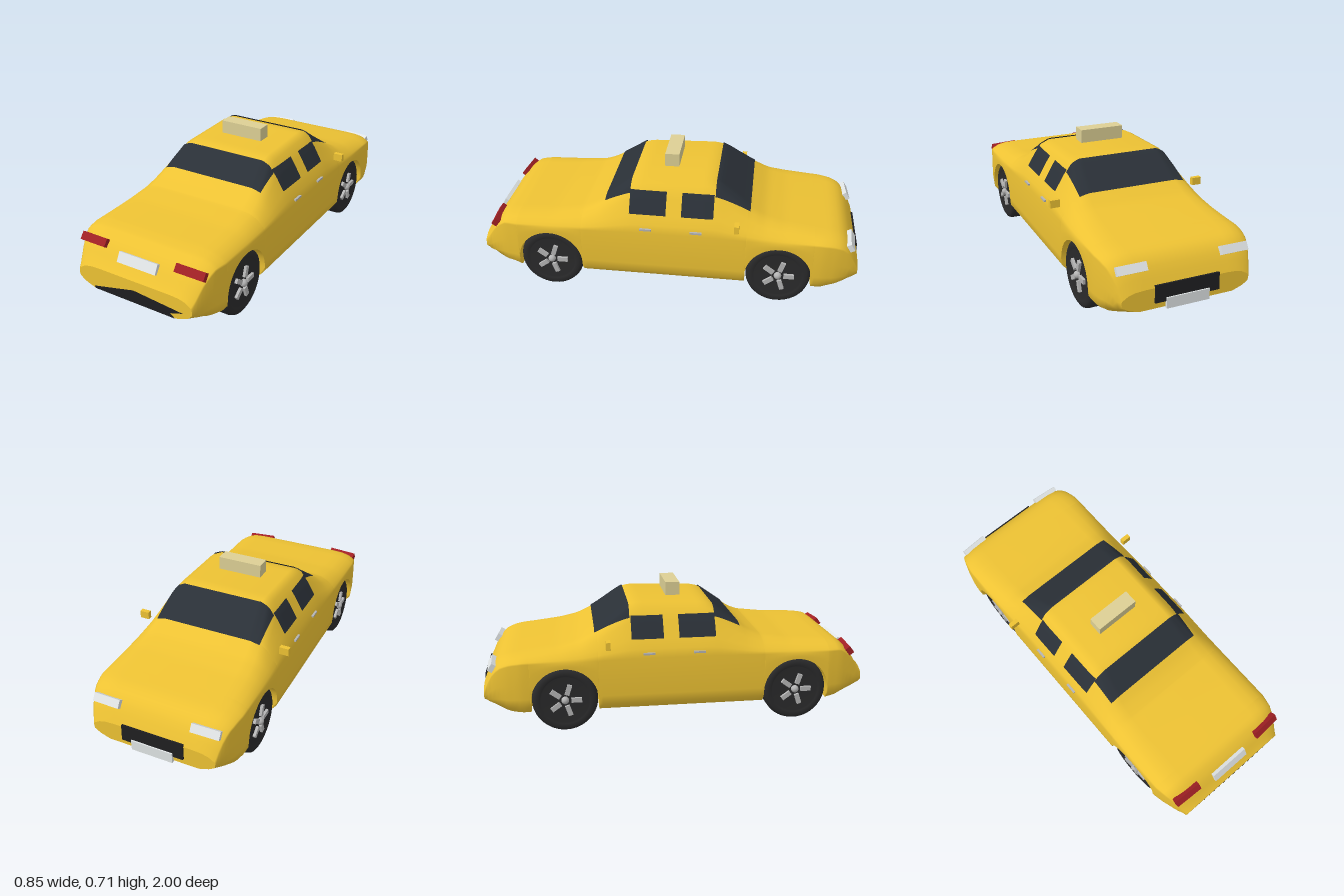
import * as THREE from 'three';

const mat = (color, side = THREE.FrontSide) => new THREE.MeshStandardMaterial({ color, side });
const yellow = mat(0xedc233), yellow2 = mat(0xedc233, THREE.DoubleSide);
const black = mat(0x1e1e20), black2 = mat(0x1e1e20, THREE.DoubleSide);
const glass = mat(0x2a3037, THREE.DoubleSide), tyreMat = mat(0x2a2a2b), metal = mat(0xb4b4b4);
const red = mat(0xa02024), white = mat(0xdfe3e4), cream = mat(0xdccf94);

// piecewise linear lookup in [[key, value], ...] with ascending keys
function lookup(table, k) {
  if (k <= table[0][0]) return table[0][1];
  for (let i = 1; i < table.length; i++) {
    const [k0, v0] = table[i - 1], [k1, v1] = table[i];
    if (k <= k1) return k1 === k0 ? v1 : v0 + (v1 - v0) * (k - k0) / (k1 - k0);
  }
  return table[table.length - 1][1];
}

// side silhouette, plan width and underside height along z
const TOP = [[-0.985, 0.24], [-0.97, 0.29], [-0.94, 0.345], [-0.9, 0.385], [-0.85, 0.402], [-0.6, 0.435],
  [-0.5, 0.46], [-0.42, 0.503], [-0.25, 0.622], [-0.2, 0.633], [0.15, 0.622], [0.2, 0.61], [0.38, 0.482],
  [0.45, 0.45], [0.6, 0.43], [0.8, 0.42], [0.87, 0.41], [0.93, 0.36], [0.98, 0.285], [1, 0.26]];
const WIDTH = [[-0.985, 0.33], [-0.93, 0.355], [-0.87, 0.375], [-0.8, 0.388], [0.8, 0.388], [0.87, 0.375],
  [0.93, 0.355], [1, 0.33]];
const UNDER = [[-0.985, 0.15], [-0.86, 0.11], [0.86, 0.11], [1, 0.147]];
const TUCK = [[-0.985, 0.09], [-0.8, 0.03], [0.8, 0.03], [1, 0.09]];
const ROOF_X = [0, 0.22, 0.26, 0.3, 0.345, 0.375, 0.386];
const DECK_X = [0, 0.25, 0.305, 0.345, 0.368, 0.38, 0.386];
const RISE = [1, 1, 0.92, 0.69, 0.385, 0.21, 0.04];
const WHEEL_Z = [-0.58, 0.625], ARCH_R = 0.172, AXLE_Y = 0.168;

const topAt = z => (lookup(TOP, z - 0.015) + 2 * lookup(TOP, z) + lookup(TOP, z + 0.015)) / 4;

// half cross-section from the centre line down to the sill
function halfSection(z, floorY = lookup(UNDER, z)) {
  const t = topAt(z), base = Math.min(0.37, t - 0.04), w = lookup(WIDTH, z);
  const g = THREE.MathUtils.clamp((t - 0.43) / 0.2, 0, 1);
  const pts = RISE.map((k, i) => [
    THREE.MathUtils.lerp(DECK_X[i], ROOF_X[i], g) * w / 0.388, base + (t - base) * k]);
  const sill = lookup(UNDER, z);
  for (const f of [0.4, 0.7, 0.87, 1]) {
    const y = base + (floorY - base) * f;
    const low = THREE.MathUtils.clamp(1 - (y - sill) / 0.05, 0, 1);
    pts.push([w - lookup(TUCK, z) * low * low, y]);
  }
  return pts;
}
const heightAt = (x, z) => lookup(halfSection(z), Math.abs(x));
const sideAt = (y, z) => lookup(halfSection(z).map(([x, h]) => [h, x]).reverse(), y);

// skin over rows of points
function loft(rows) {
  const n = rows[0].length, index = [];
  for (let i = 0; i < rows.length - 1; i++) for (let j = 0; j < n - 1; j++) {
    const a = i * n + j, b = a + n;
    index.push(a, a + 1, b, a + 1, b + 1, b);
  }
  const g = new THREE.BufferGeometry();
  g.setAttribute('position', new THREE.Float32BufferAttribute(rows.flat(2), 3));
  g.setIndex(index);
  g.computeVertexNormals();
  return g;
}
const grid = (nu, nv, fn) => Array.from({ length: nu + 1 }, (_, i) =>
  Array.from({ length: nv + 1 }, (_, j) => fn(i / nu, j / nv)));

// loft stations, dense around the wheel arches
function stations() {
  const list = [];
  const cut = z => WHEEL_Z.some(c => Math.abs(z - c) <= ARCH_R + 0.003);
  for (let i = 0; i <= 90; i++) {
    const z = -0.985 + 1.985 * i / 90;
    if (!cut(z)) list.push({ z, y: lookup(UNDER, z), arch: false });
  }
  for (const c of WHEEL_Z) {
    const arch = [];
    for (let k = 0; k <= 22; k++) {
      const a = Math.PI * k / 22;
      arch.push({ z: c - ARCH_R * Math.cos(a), y: AXLE_Y + ARCH_R * Math.sin(a), arch: true });
    }
    const ends = [c - ARCH_R, c + ARCH_R].map(z => ({ z, y: lookup(UNDER, z), arch: false }));
    const at = list.findIndex(s => s.z > c);
    list.splice(at, 0, ends[0], ...arch, ends[1]);
  }
  return list;
}

export function createModel() {
  const car = new THREE.Group();
  car.name = 'taxi';
  const add = (name, geo, material, parent = car) => {
    const m = new THREE.Mesh(geo, material);
    m.name = name;
    parent.add(m);
    return m;
  };
  const box = (name, size, pos, material, rot = [0, 0, 0], parent = car) => {
    const m = add(name, new THREE.BoxGeometry(...size), material, parent);
    m.position.set(...pos);
    m.rotation.set(...rot);
    return m;
  };

  // body shell
  const st = stations();
  const rings = st.map(({ z, y }) => {
    const h = halfSection(z, y);
    return [...h.slice().reverse().map(p => [p[0], p[1], z]), ...h.slice(1).map(p => [-p[0], p[1], z])];
  });
  add('bodyShell', loft(rings), yellow);
  for (const [name, ring] of [['noseCap', rings[0]], ['tailCap', rings[rings.length - 1]]]) {
    const shape = new THREE.Shape(ring.map(p => new THREE.Vector2(p[0], p[1])));
    add(name, new THREE.ShapeGeometry(shape), yellow2).position.z = ring[0][2];
  }

  // dark floor and body-coloured wheel tunnels
  let start = 0;
  const inArch = i => st[i].arch || st[i + 1].arch;
  for (let i = 0; i < st.length - 1; i++) {
    if (i + 1 < st.length - 1 && inArch(i + 1) === inArch(i)) continue;
    const rows = rings.slice(start, i + 2).map(r => [r[r.length - 1], r[0]]);
    add(inArch(i) ? 'wheelTunnel' : 'floorPan', loft(rows), inArch(i) ? yellow2 : black2);
    start = i + 1;
  }

  // windscreens follow the body surface
  for (const [name, z0, z1] of [['windscreen', -0.42, -0.24], ['rearWindow', 0.2, 0.335]]) {
    add(name, loft(grid(14, 48, (u, v) => {
      const x = 0.29 - 0.58 * v, z = z0 + (z1 - z0) * u;
      return [x, heightAt(x, z) + 0.006, z];
    })), glass);
  }

  for (const s of [1, -1]) {
    // side windows
    for (const [name, z0, z1] of [['frontSideWindow', -0.235, -0.07], ['rearSideWindow', 0.01, 0.2]]) {
      add(name, loft(grid(10, 16, (u, v) => {
        const z = z0 + (z1 - z0) * u, y = 0.47 + 0.108 * v;
        return [s * (sideAt(y, z) + 0.005), y, z];
      })), glass);
    }
    // door handles, mirrors, lights
    for (const z of [-0.15, 0.11]) box('doorHandle', [0.012, 0.01, 0.06], [s * 0.385, 0.402, z], metal);
    box('wingMirror', [0.05, 0.04, 0.024], [s * 0.4, 0.46, -0.358], yellow);
    box('tailLight', [0.155, 0.042, 0.03], [s * 0.278, 0.364, 0.925], red, [-0.65, s * 0.06, 0]);
    box('headlight', [0.145, 0.042, 0.025], [s * 0.262, 0.347, -0.942], white, [0.55, -s * 0.06, 0]);
  }

  // roof sign, plates, grille
  box('roofSign', [0.24, 0.07, 0.075], [0, 0.675, 0.005], cream);
  box('rearPlate', [0.222, 0.052, 0.02], [0, 0.337, 0.953], white, [-0.5, 0, 0]);
  box('grille', [0.33, 0.085, 0.03], [0, 0.222, -0.977], black, [0.06, 0, 0]);
  box('frontPlate', [0.22, 0.055, 0.016], [0, 0.172, -0.992], white);

  // dark lower patch on the rear bumper
  const patch = new THREE.Shape([[-0.24, 0.158], [-0.235, 0.146], [0.235, 0.146], [0.21, 0.167], [0.28, 0.19],
    [0, 0.215]].map(p => new THREE.Vector2(...p)));
  add('rearBumperPatch', new THREE.ShapeGeometry(patch), black).position.z = 1.002;

  // wheels: lathed tyre, hub and five spokes
  const profile = [[0, -0.068], [0.15, -0.068], [0.163, -0.06], [0.168, -0.045], [0.168, 0.045], [0.163, 0.06],
    [0.15, 0.068], [0.128, 0.068], [0.122, 0.06], [0, 0.06]].map(p => new THREE.Vector2(...p));
  const tyreGeo = new THREE.LatheGeometry(profile, 40);
  for (const z of WHEEL_Z) for (const s of [1, -1]) {
    const wheel = new THREE.Group();
    wheel.name = 'wheel';
    wheel.position.set(s * 0.303, AXLE_Y, z);
    wheel.rotation.y = s > 0 ? 0 : Math.PI;
    add('tyre', tyreGeo, tyreMat, wheel).rotation.z = -Math.PI / 2;
    const hub = add('hub', new THREE.SphereGeometry(0.02, 16, 12), metal, wheel);
    hub.position.x = 0.066;
    for (let k = 0; k < 5; k++) {
      const a = k * Math.PI * 2 / 5;
      box('spoke', [0.016, 0.024, 0.055], [0.066, 0.058 * Math.sin(a), -0.058 * Math.cos(a)], metal,
        [a, 0, 0], wheel);
    }
    car.add(wheel);
  }
  return car;
}
